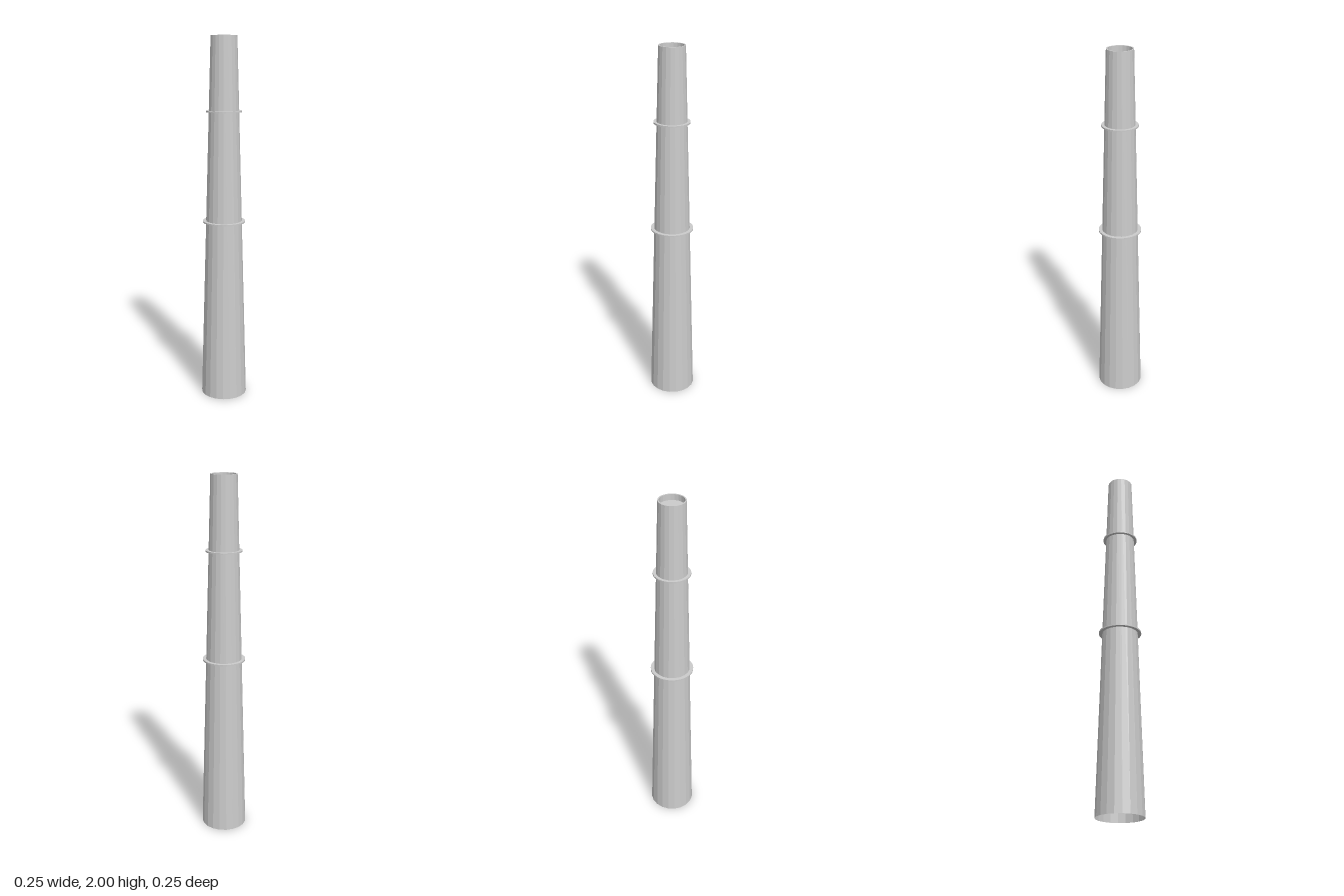
import * as THREE from 'three';

const SIDES = 20;
const BASE_R = 0.127, TOP_R = 0.07, HEIGHT = 2;

const material = new THREE.MeshStandardMaterial({
  color: 0xcccccc, flatShading: true, side: THREE.DoubleSide,
});

// Revolves a profile of [radius, y] pairs around the vertical axis
function revolve(name, profile, sides) {
  const points = profile.map(([r, y]) => new THREE.Vector2(r, y));
  const mesh = new THREE.Mesh(new THREE.LatheGeometry(points, sides), material);
  mesh.name = name;
  return mesh;
}

// Radius of the tapered shaft at a given height
const shaftRadius = (y) => THREE.MathUtils.lerp(BASE_R, TOP_R, y / HEIGHT);

export function createModel() {
  const group = new THREE.Group();
  group.name = 'chimney';

  // Tapered shaft, open underneath, with a narrow rim and a recessed mouth
  group.add(revolve('shaft', [
    [BASE_R, 0], [TOP_R, HEIGHT], [0.063, HEIGHT], [0.063, 1.97], [0, 1.97],
  ], SIDES));

  // Thin flat collars around the shaft
  for (const [name, y, outer] of [['lowerCollar', 1.003, 0.117], ['upperCollar', 1.603, 0.097]]) {
    const inner = shaftRadius(y) - 0.004;
    const top = y + 0.008;
    group.add(revolve(name, [
      [inner, y], [outer, y], [outer, top], [inner, top], [inner, y],
    ], 32));
  }

  return group;
}
